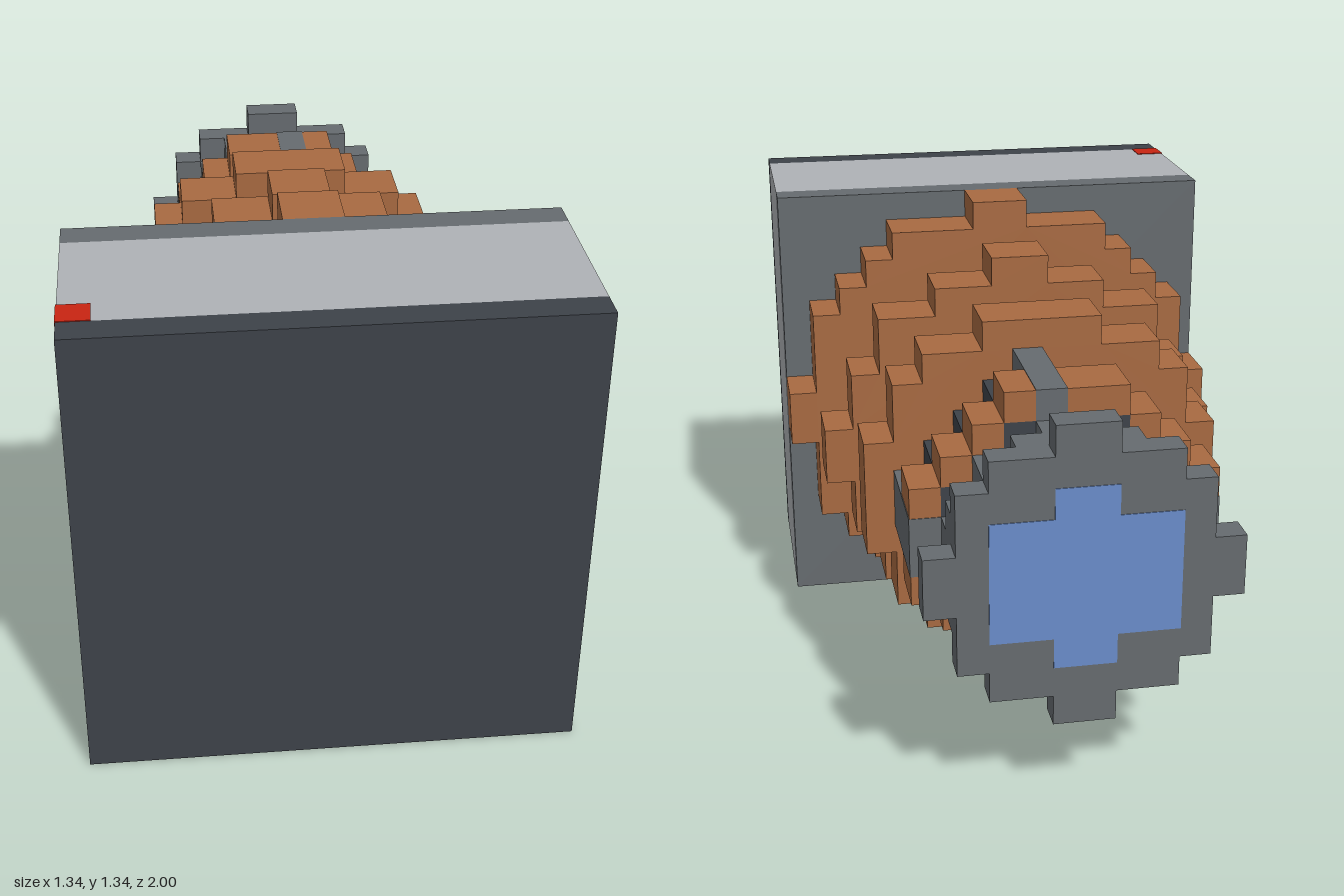
import * as THREE from 'three';

const U = 1 / 12;   // one block
const CY = 8 * U;   // height of the long axis
const E = 0.002;    // lift that keeps overlaid faces visible

const mat = (name, color) => {
  const m = new THREE.MeshStandardMaterial({ color });
  m.name = name;
  return m;
};

export function createModel() {
  const dark = mat('charcoal', 0x3d4249);
  const grey = mat('steel grey', 0x666b6f);
  const light = mat('light grey', 0xafb2b6);
  const copper = mat('copper', 0xa86a41);
  const blue = mat('lens blue', 0x6a8dcb);
  const red = mat('red', 0xc82412);

  const model = new THREE.Group();
  model.name = 'blockDevice';

  const add = (name, geometry, material) => {
    const mesh = new THREE.Mesh(geometry, material);
    mesh.name = name;
    model.add(mesh);
    return mesh;
  };

  // Box from two corners, in blocks; x and y are measured from the axis
  const box = (name, material, x0, x1, y0, y1, z0, z1) => {
    add(name, new THREE.BoxGeometry((x1 - x0) * U, (y1 - y0) * U, (z1 - z0) * U), material)
      .position.set((x0 + x1) / 2 * U, CY + (y0 + y1) / 2 * U, (z0 + z1) / 2 * U);
  };

  // Stepped disc: half-widths of its block rows, from the axis outward
  const disc = (name, material, rows, z0, z1) => {
    const quarter = [];
    rows.forEach((w, i) => {
      if (i === 0 || rows[i - 1] !== w) quarter.push([w, i]);
      if (rows[i + 1] !== w) quarter.push([w, i + 1]);
    });
    const q = quarter.slice(1); // drop the point on the x axis
    const r = [...q].reverse();
    const pts = [
      ...q, ...r.map(([x, y]) => [-x, y]),
      ...q.map(([x, y]) => [-x, -y]), ...r.map(([x, y]) => [x, -y]),
    ];
    const shape = new THREE.Shape(pts.map(([x, y]) => new THREE.Vector2(x * U, y * U)));
    const geometry = new THREE.ExtrudeGeometry(shape, { depth: (z1 - z0) * U, bevelEnabled: false });
    add(name, geometry, material).position.set(0, CY, z0 * U);
  };

  // Square housing
  box('frontPanel', dark, -8, 8, -8, 8, 11, 12);
  box('housing', light, -8, 8, -8, 8, 6, 11);
  box('backPlate', grey, -8, 8, -8, 8, 5, 6);

  // Red marker wrapped over the top corner
  const e = E / U;
  box('marker', red, -8 - e, -7, 7, 8 + e, 10, 11);

  // Core and tapering coil rings
  disc('core', dark, [4, 4, 3, 2], -9, 5);
  disc('coilRing1', copper, [8, 7, 7, 7, 6, 5, 4, 1], 3, 5);
  disc('coilRing2', copper, [7, 6, 6, 5, 5, 3, 1], -1, 1);
  disc('coilRing3', copper, [6, 6, 5, 5, 4, 2], -5, -3);
  disc('coilRing4', copper, [5, 5, 4, 3, 2], -9, -7);

  // Four struts running along the core
  box('topStrut', grey, 0, 1, 3, 5 + e, -9 - e, 4);
  box('bottomStrut', grey, 0, 1, -5 - e, -3, -9 - e, 4);
  box('leftStrut', grey, 3, 5 + e, -1, 1, -9 - e, 4);
  box('rightStrut', grey, -5 - e, -3, -1, 1, -9 - e, 4);

  // Stepped nozzle with flange and lens
  disc('nozzleNeck', grey, [4, 3, 3, 1], -10, -9);
  disc('nozzleCollar', grey, [4, 4, 3, 2], -11, -10);
  disc('nozzleFlange', grey, [5, 4, 4, 3, 1], -12, -11);
  disc('lens', blue, [3, 3, 1], -12 - e, -11.95);

  return model;
}
